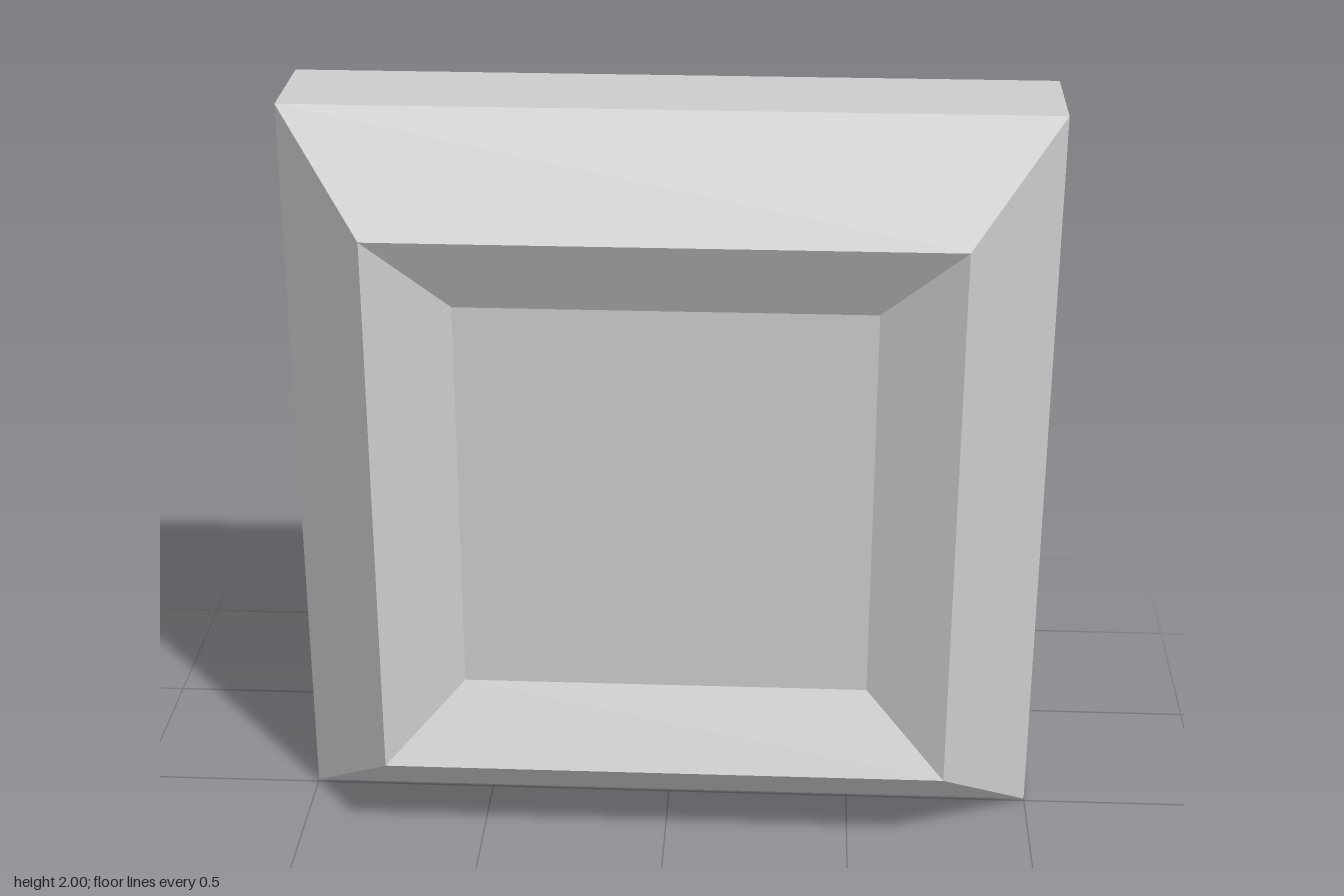
import * as THREE from 'three';

// Square cross-sections from the back centre to the front centre: [half width, z]
const PROFILE = [
  [0, -0.31],    // back centre
  [1, -0.31],    // back edge
  [1, -0.01],    // end of the straight sides
  [0.75, 0.31],  // sharp raised rim
  [0.54, 0.2],   // foot of the inner bevel
  [0, 0.2],      // recessed panel centre
];

export function createModel() {
  const group = new THREE.Group();
  group.name = 'bevelledPanel';

  // A four-sided lathe gives the square rings; its axis is turned to face +z
  const points = PROFILE.map(([half, z]) => new THREE.Vector2(half * Math.SQRT2, z));
  const lathe = new THREE.LatheGeometry(points, 4, Math.PI / 4);
  lathe.rotateX(Math.PI / 2);
  const geometry = lathe.toNonIndexed();
  geometry.computeVertexNormals();

  const material = new THREE.MeshStandardMaterial({ color: 0xcccccc, flatShading: true });
  const panel = new THREE.Mesh(geometry, material);
  panel.name = 'recessedPanelBlock';
  panel.position.y = 1;
  group.add(panel);
  return group;
}
